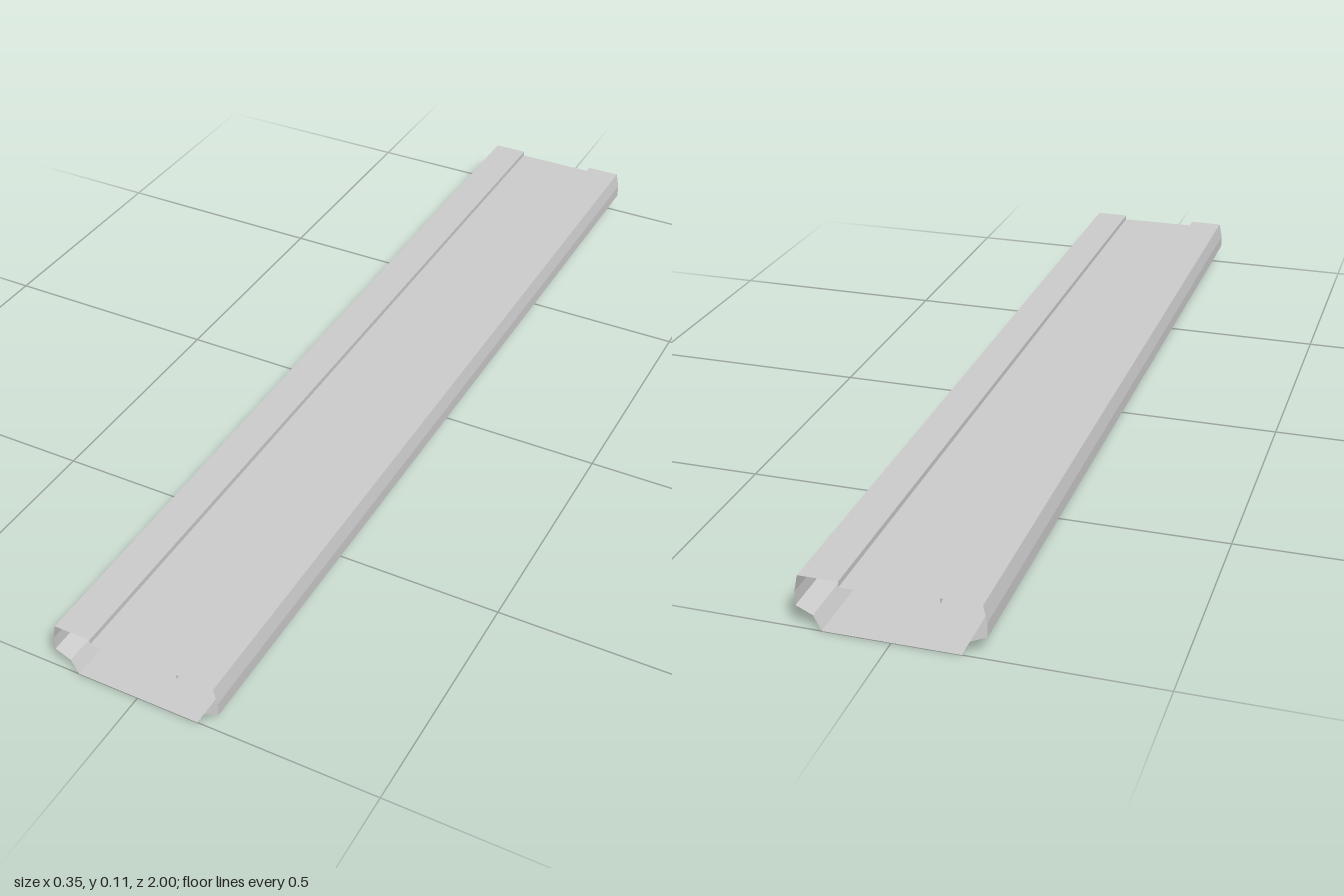
import * as THREE from 'three';

const material = new THREE.MeshStandardMaterial({ color: 0xcccccc, flatShading: true, side: THREE.DoubleSide });
const HALF_LENGTH = 1;

// Thin folded sheet: sweeps an open x/y section along z, one flat panel per segment
function foldedSheet(name, section) {
  const positions = [];
  for (let i = 0; i < section.length - 1; i++) {
    const [ax, ay] = section[i];
    const [bx, by] = section[i + 1];
    const a0 = [ax, ay, -HALF_LENGTH], a1 = [ax, ay, HALF_LENGTH];
    const b0 = [bx, by, -HALF_LENGTH], b1 = [bx, by, HALF_LENGTH];
    positions.push(...a0, ...a1, ...b1, ...a0, ...b1, ...b0);
  }
  const geometry = new THREE.BufferGeometry();
  geometry.setAttribute('position', new THREE.Float32BufferAttribute(positions, 3));
  geometry.computeVertexNormals();
  const mesh = new THREE.Mesh(geometry, material);
  mesh.name = name;
  return mesh;
}

export function createModel() {
  const model = new THREE.Group();
  model.name = 'hollowRail';

  // Side wall section, from the bottom edge up to the lip of the top groove
  const wall = [
    [0.13, 0], [0.145, 0.03], [0.177, 0.045], [0.177, 0.073],
    [0.17, 0.107], [0.093, 0.107], [0.093, 0.096],
  ];
  const mirrored = wall.map(([x, y]) => [-x, y]).reverse();

  model.add(foldedSheet('leftWall', wall));
  model.add(foldedSheet('rightWall', mirrored));

  // Recessed top strip between the lips, and the flat base; both ends stay open
  model.add(foldedSheet('grooveFloor', [[0.093, 0.096], [-0.093, 0.096]]));
  model.add(foldedSheet('base', [[-0.13, 0], [0.13, 0]]));

  return model;
}
